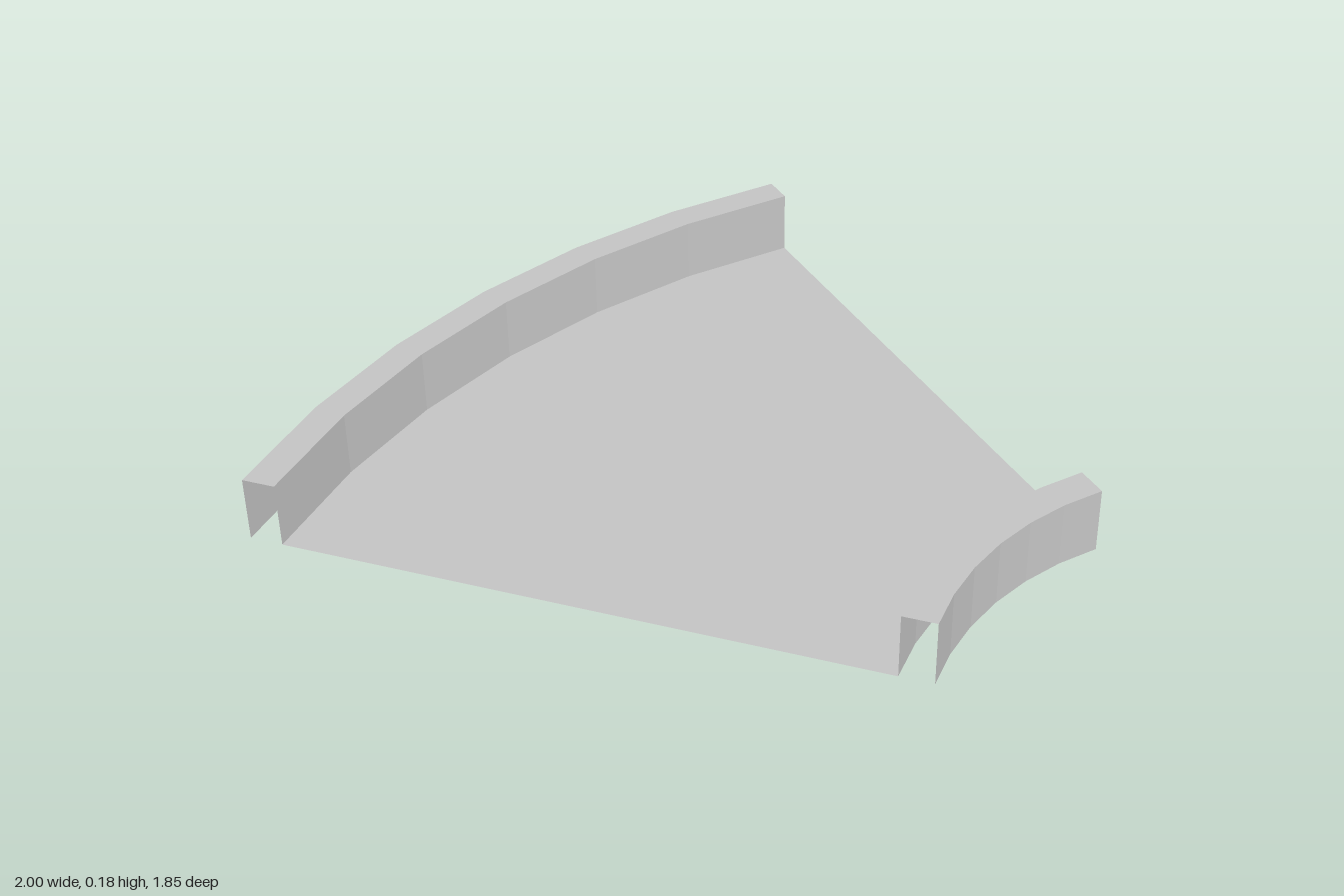
import * as THREE from 'three';

const STEPS = 6;             // facets along the 45 degree bend
const SWEEP = Math.PI / 4;
const HEIGHT = 0.177;
const CENTRE = [1.61, 0.923]; // x, z of the bend's centre

export function createModel() {
  const model = new THREE.Group();
  model.name = 'curvedTrackSection';

  const grey = new THREE.MeshStandardMaterial({ color: 0xc6c6c6 });
  grey.name = 'light grey';
  grey.side = THREE.DoubleSide;
  grey.flatShading = true;

  const add = (parent, name, geometry) => {
    const mesh = new THREE.Mesh(geometry, grey);
    mesh.name = name;
    parent.add(mesh);
  };

  // Flat faceted arc between two radii, facing up at height y
  const flatArc = (inner, outer, y) =>
    new THREE.RingGeometry(inner, outer, STEPS, 1, Math.PI - SWEEP, SWEEP)
      .rotateX(-Math.PI / 2)
      .translate(CENTRE[0], y, CENTRE[1]);

  // Upright faceted arc at one radius
  const uprightArc = (radius) =>
    new THREE.CylinderGeometry(radius, radius, HEIGHT, STEPS, 1, true, Math.PI * 1.5 - SWEEP, SWEEP)
      .translate(CENTRE[0], HEIGHT / 2, CENTRE[1]);

  // Hollow kerb: two sides and a top, open at the ends and underneath
  const addKerb = (name, inner, outer) => {
    const kerb = new THREE.Group();
    kerb.name = name;
    add(kerb, name + 'InnerSide', uprightArc(inner));
    add(kerb, name + 'OuterSide', uprightArc(outer));
    add(kerb, name + 'Top', flatArc(inner, outer, HEIGHT));
    model.add(kerb);
  };

  // Floor runs between the two kerbs
  add(model, 'floor', flatArc(0.95, 2.523, 0));
  addKerb('outerKerb', 2.523, 2.61);
  addKerb('innerKerb', 0.863, 0.95);

  return model;
}
